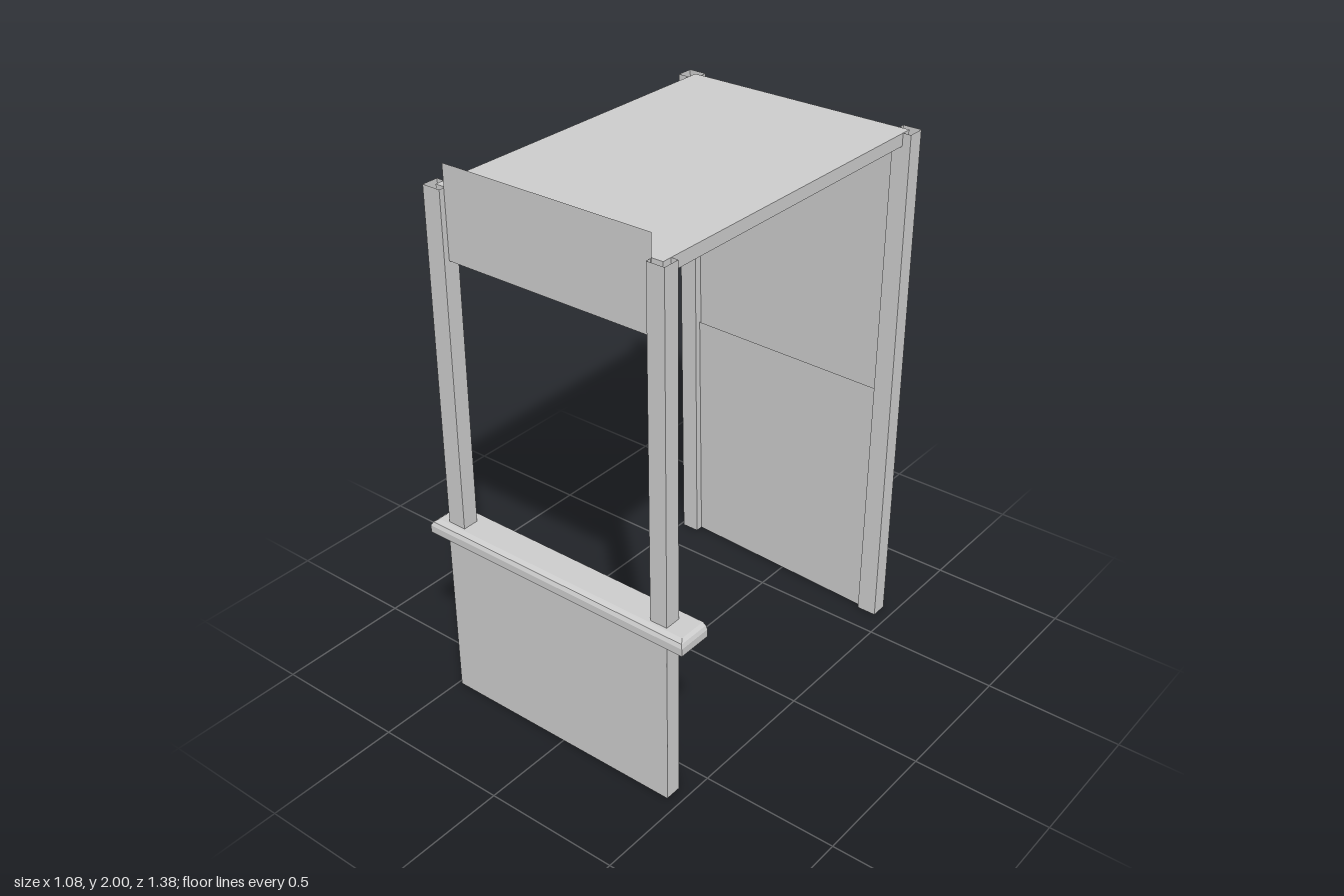
import * as THREE from 'three';

const grey = new THREE.MeshStandardMaterial({ color: 0xcccccc, side: THREE.DoubleSide });
grey.name = 'plain grey';

// Surface from corner quads, each listed counter-clockwise from its outside
function quads(list) {
  const pos = [];
  for (const [a, b, c, d] of list) pos.push(...a, ...b, ...c, ...a, ...c, ...d);
  const g = new THREE.BufferGeometry();
  g.setAttribute('position', new THREE.Float32BufferAttribute(pos, 3));
  g.computeVertexNormals();
  return g;
}

// Corners of a horizontal rectangle at height y
const ring = ([x0, x1, z0, z1], y) => [[x0, y, z1], [x1, y, z1], [x1, y, z0], [x0, y, z0]];

// Side walls between stacked rings
function walls(rings) {
  const out = [];
  for (let r = 0; r < rings.length - 1; r++) {
    for (let i = 0; i < 4; i++) {
      const j = (i + 1) % 4;
      out.push([rings[r][i], rings[r][j], rings[r + 1][j], rings[r + 1][i]]);
    }
  }
  return out;
}

export function createModel() {
  const group = new THREE.Group();
  const add = (name, geometry) => {
    const mesh = new THREE.Mesh(geometry, grey);
    mesh.name = name;
    group.add(mesh);
    return mesh;
  };

  // Slightly crooked posts, hollow and open at both ends: [x0, x1, z0, z1] at foot and head
  const posts = {
    frontLeftPost: [[0.39, 0.455, 0.595, 0.655], [0.39, 0.455, 0.595, 0.655]],
    frontRightPost: [[-0.487, -0.416, 0.595, 0.655], [-0.475, -0.405, 0.595, 0.655]],
    backLeftPost: [[0.378, 0.452, -0.66, -0.597], [0.392, 0.46, -0.66, -0.597]],
    backRightPost: [[-0.488, -0.42, -0.688, -0.625], [-0.488, -0.42, -0.66, -0.597]],
  };
  for (const [name, [foot, head]] of Object.entries(posts)) {
    add(name, quads(walls([ring(foot, 0), ring(head, 1.92)])));
  }

  // Flat roof slab
  add('roof', new THREE.BoxGeometry(0.875, 0.045, 1.265)).position.set(-0.0075, 1.8975, -0.0025);

  // Sign board above the opening
  add('signBoard', new THREE.PlaneGeometry(0.8, 0.32)).position.set(-0.005, 1.84, 0.636);

  // Front panel below the counter
  add('frontPanel', new THREE.PlaneGeometry(0.943, 0.65)).position.set(-0.0155, 0.325, 0.657);

  // Back wall, twisted so that its right foot kicks out
  add('backWall', quads([[
    [-0.445, 0, -0.665], [0.39, 0, -0.621], [0.395, 1.875, -0.622], [-0.425, 1.875, -0.622],
  ]]));

  // Lower lining on the inside of the back wall
  add('backWallLining', quads([[
    [-0.42, 0, -0.655], [0.383, 0, -0.613], [0.388, 0.95, -0.614], [-0.42, 0.95, -0.635],
  ]]));

  // Counter with a bevel along the front and both ends
  const base = ring([-0.54, 0.54, 0.56, 0.688], 0.65);
  const lip = ring([-0.54, 0.54, 0.56, 0.688], 0.677);
  const slope = ring([-0.534, 0.534, 0.56, 0.681], 0.69);
  const top = ring([-0.522, 0.522, 0.56, 0.664], 0.698);
  add('counter', quads([...walls([base, lip, slope, top]), top, [...base].reverse()]));

  return group;
}
